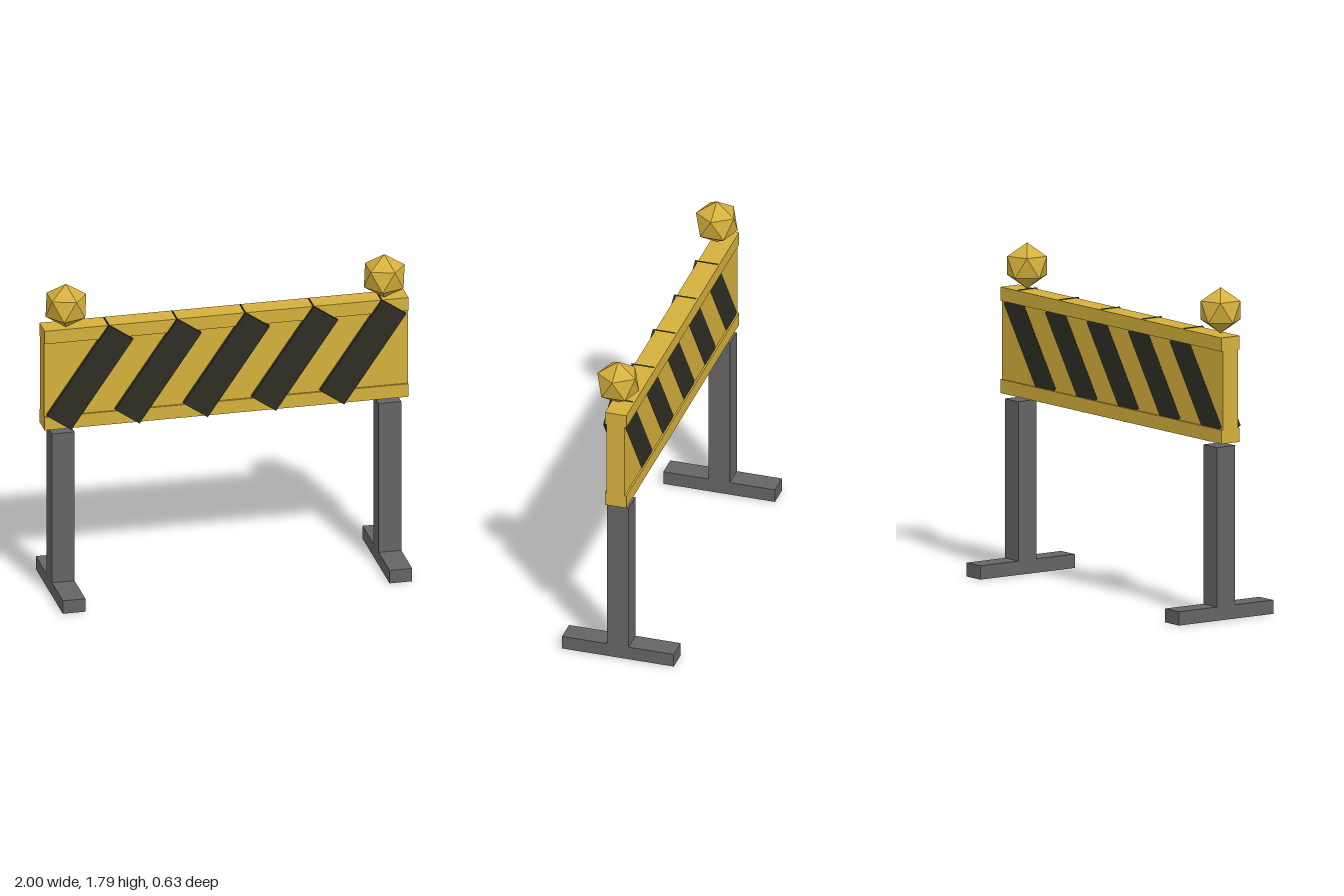
import * as THREE from 'three';

export function createModel() {
  const model = new THREE.Group();
  model.name = 'roadBarrier';

  const mat = (name, color) => {
    const m = new THREE.MeshStandardMaterial({ color });
    m.name = name;
    return m;
  };
  const yellow = mat('yellow', 0xd4b03c);
  const black = mat('black', 0x2e2d24);
  const grey = mat('grey', 0x646464);

  const add = (name, geometry, material, x, y, z) => {
    const mesh = new THREE.Mesh(geometry, material);
    mesh.name = name;
    mesh.position.set(x, y, z);
    model.add(mesh);
    return mesh;
  };
  const box = (w, h, d) => new THREE.BoxGeometry(w, h, d);

  // Board with a thicker rail along its top and bottom edges
  add('board', box(2, 0.43, 0.1), yellow, 0, 1.2525, 0);
  add('topRail', box(2, 0.075, 0.12), yellow, 0, 1.503, 0);
  add('bottomRail', box(2, 0.075, 0.12), yellow, 0, 1.002, 0);

  // Slanted stripes, running right through the board
  for (let i = 0; i < 5; i++) {
    const stripe = add('stripe', box(0.161, 0.6, 0.126), black, -0.7525 + i * 0.375, 1.2525, 0.012);
    stripe.rotation.z = -0.604;
  }

  // Warning lamp: icosahedron standing on one point
  const lampShape = new THREE.IcosahedronGeometry(0.125, 0);
  lampShape.rotateZ(-Math.atan(2 / (1 + Math.sqrt(5))));

  for (const [side, s] of [['left', 1], ['right', -1]]) {
    add(side + 'Lamp', lampShape, yellow, s * 0.875, 1.665, 0.025);
    add(side + 'Post', box(0.124, 0.865, 0.12), grey, s * 0.898, 0.5075, 0);
    add(side + 'Foot', box(0.124, 0.075, 0.626), grey, s * 0.898, 0.0375, 0);
  }

  return model;
}
